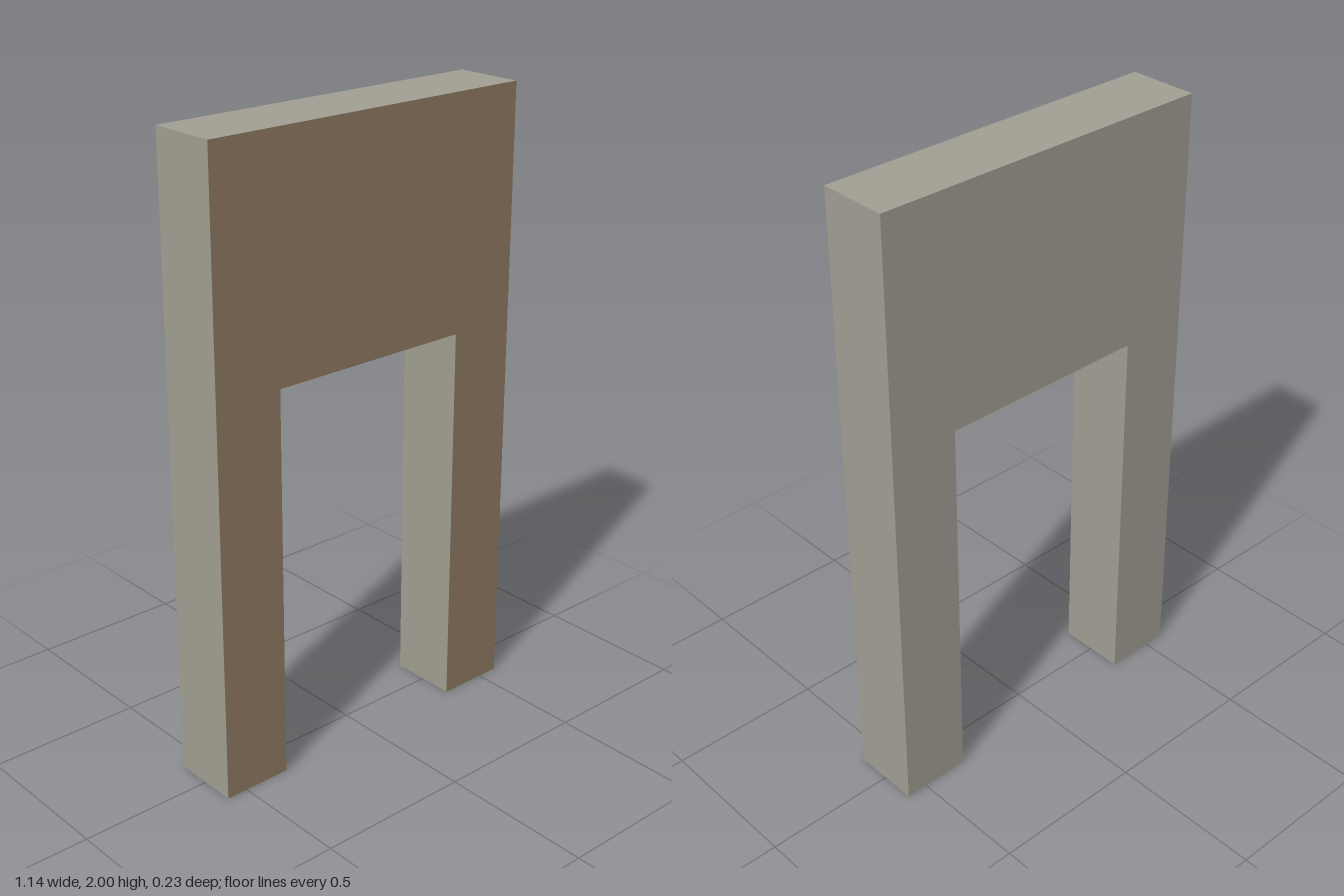
import * as THREE from 'three';

const HALF_WIDTH = 0.57, HEIGHT = 2, DEPTH = 0.226;
const OPENING_HALF = 0.345, OPENING_TOP = 1.26;
const SKIN = 0.001; // gap that keeps the painted face clear of the body

// Outline of the two-legged doorway frame
function frameOutline() {
  const right = [
    [OPENING_HALF, OPENING_TOP], [OPENING_HALF, 0],
    [HALF_WIDTH, 0], [HALF_WIDTH, HEIGHT],
  ];
  const left = right.map(([x, y]) => [-x, y]).reverse();
  return new THREE.Shape([...right, ...left].map(([x, y]) => new THREE.Vector2(x, y)));
}

export function createModel() {
  const model = new THREE.Group();
  model.name = 'doorwayFrame';
  const outline = frameOutline();

  // Solid body: two legs joined by a deep lintel
  const bodyGeometry = new THREE.ExtrudeGeometry(outline, { depth: DEPTH - SKIN, bevelEnabled: false });
  bodyGeometry.translate(0, 0, -DEPTH / 2);
  const body = new THREE.Mesh(bodyGeometry, new THREE.MeshStandardMaterial({ color: 0xa29f93 }));
  body.name = 'frameBody';
  model.add(body);

  // Brown facing over the whole front
  const face = new THREE.Mesh(
    new THREE.ShapeGeometry(outline),
    new THREE.MeshStandardMaterial({ color: 0x917c64 }),
  );
  face.name = 'frontFace';
  face.position.z = DEPTH / 2;
  model.add(face);

  return model;
}
